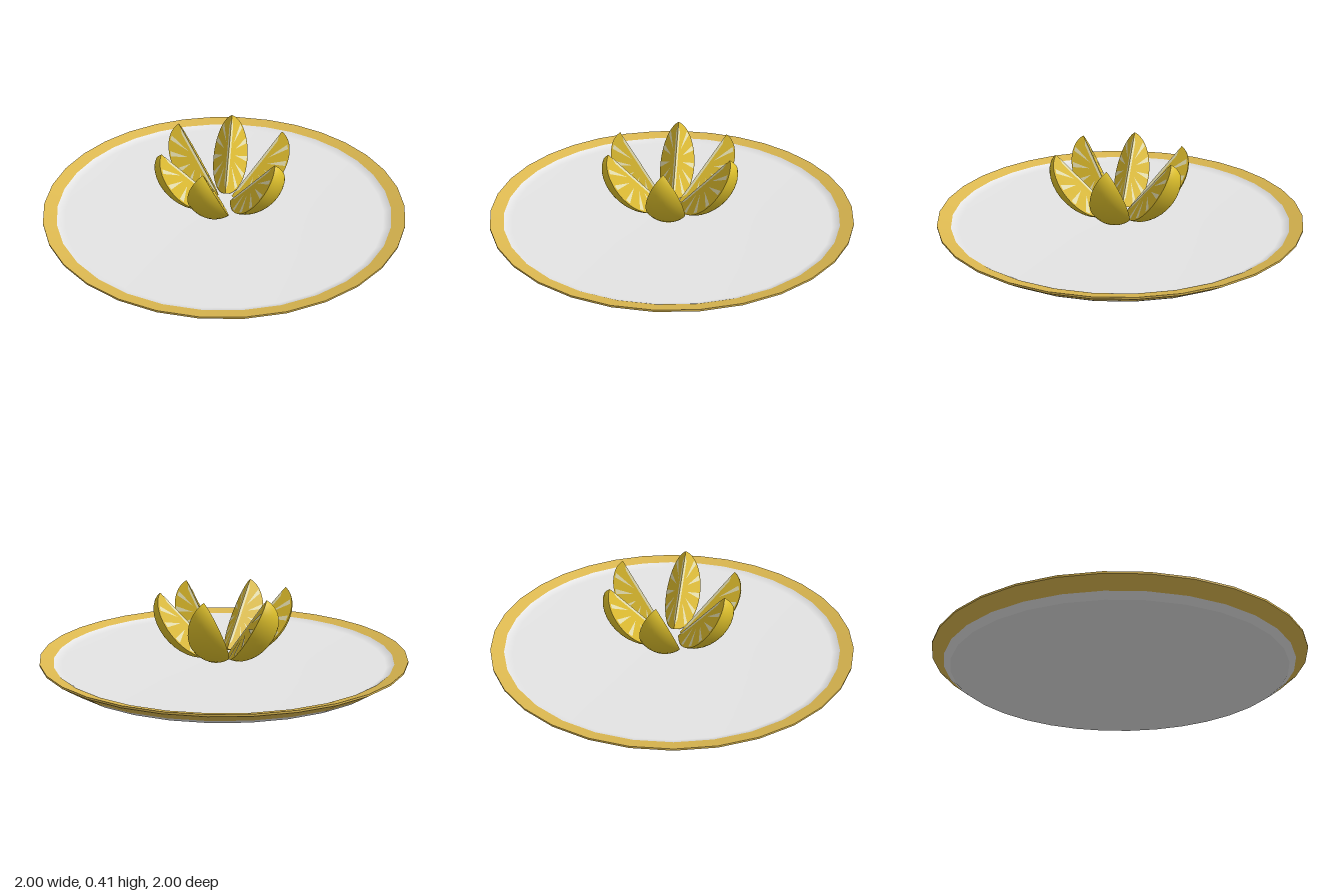
import * as THREE from 'three';

const mat = (name, color) => {
  const m = new THREE.MeshStandardMaterial({ color });
  m.name = name;
  return m;
};

export function createModel() {
  const white = mat('plateWhite', 0xe4e4e4);
  const gold = mat('rimGold', 0xdcb850);
  const rindYellow = mat('rindYellow', 0xe0c22c);
  const fleshYellow = mat('fleshYellow', 0xdcba2c);
  const pithCream = mat('pithCream', 0xe6dfae);

  const model = new THREE.Group();
  model.name = 'plateOfCitrusWedges';

  const add = (parent, name, geometry, material) => {
    const mesh = new THREE.Mesh(geometry, material);
    mesh.name = name;
    parent.add(mesh);
    return mesh;
  };

  // Plate: 32-sided turned bands, listed from the underside round to the inside
  const plate = new THREE.Group();
  plate.name = 'plate';
  model.add(plate);
  const band = (name, points, material) => add(plate, name,
    new THREE.LatheGeometry(points.map(p => new THREE.Vector2(...p)), 32), material);
  band('plateBase', [[0, 0], [0.9, 0]], white);
  band('plateFoot', [[0.9, 0], [0.935, 0.024]], white);
  band('rimUnderside', [[0.935, 0.024], [1, 0.07]], gold);
  band('rimEdge', [[1, 0.07], [1, 0.08]], gold);
  band('rimTop', [[1, 0.08], [0.93, 0.058]], gold);
  band('plateDish', [[0.93, 0.058], [0.89, 0.036], [0, 0.03]], white);

  // Wedge: a sector of an ellipsoid, long axis along y, cut edge on x = 0
  const half = 0.232, depth = 0.152, spread = 0.73;
  const rindGeo = new THREE.SphereGeometry(1, 12, 18, Math.PI - spread, spread * 2);
  rindGeo.scale(depth, half, depth);

  // Cut face: half ellipse
  const fleshShape = new THREE.Shape();
  fleshShape.absellipse(0, 0, depth, half, -Math.PI / 2, Math.PI / 2);
  const fleshGeo = new THREE.ShapeGeometry(fleshShape, 18);

  // Pith: a strip along the cut edge and spokes narrowing inwards
  const at = (a, k) => new THREE.Vector2(Math.cos(a) * depth * k, Math.sin(a) * half * k);
  const pithShapes = [new THREE.Shape([
    new THREE.Vector2(0, -half * 0.9), new THREE.Vector2(0.014, -half * 0.75),
    new THREE.Vector2(0.014, half * 0.75), new THREE.Vector2(0, half * 0.9),
  ])];
  for (let i = -2; i <= 2; i++) {
    const a = i * 0.5;
    pithShapes.push(new THREE.Shape([at(a, 0.35), at(a - 0.075, 0.95), at(a + 0.075, 0.95)]));
  }
  const pithGeo = new THREE.ShapeGeometry(pithShapes);
  pithGeo.translate(0, 0, 0.002);

  const makeWedge = () => {
    const wedge = new THREE.Group();
    wedge.name = 'wedge';
    add(wedge, 'rind', rindGeo, rindYellow);
    for (const flip of [0, Math.PI]) {
      const face = new THREE.Group();
      face.name = 'cutFace';
      face.rotation.set(flip, -spread, 0);
      add(face, 'flesh', fleshGeo, fleshYellow);
      add(face, 'pith', pithGeo, pithCream);
      wedge.add(face);
    }
    return wedge;
  };

  // Ring of six wedges leaning outwards
  const tilt = 0.72;
  for (const degrees of [4, 70, 135, 187, 250, 305]) {
    const arm = new THREE.Group();
    arm.name = 'wedgePlace';
    arm.rotation.y = -THREE.MathUtils.degToRad(degrees);
    const wedge = makeWedge();
    wedge.rotation.z = -tilt;
    wedge.position.set(0.045 + Math.sin(tilt) * half, 0.062 + Math.cos(tilt) * half, 0);
    arm.add(wedge);
    model.add(arm);
  }
  return model;
}
